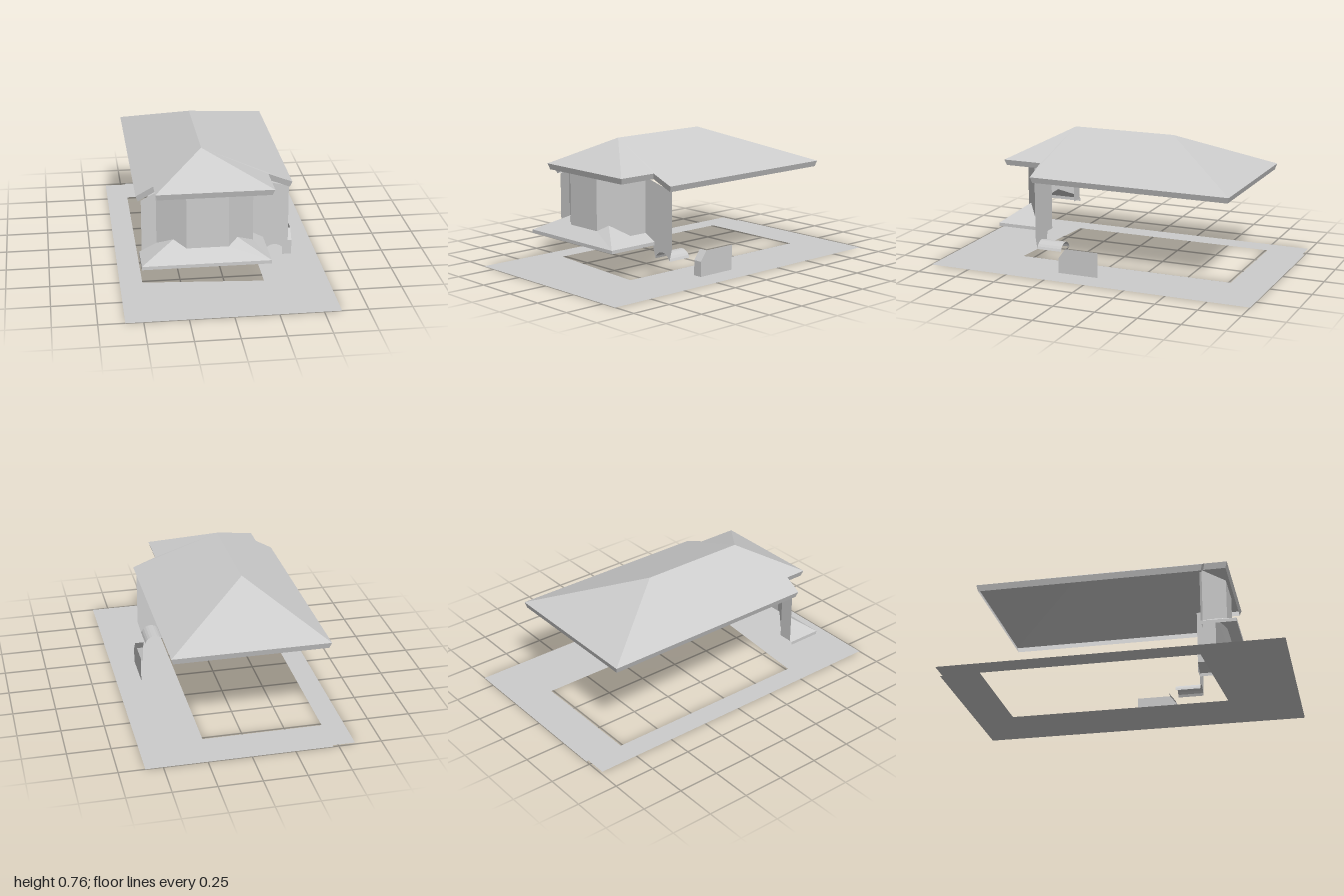
import * as THREE from 'three';

const grey = new THREE.MeshStandardMaterial({ color: 0xcccccc, side: THREE.DoubleSide });
grey.name = 'plain grey';

// Flat-shaded mesh from polygons, each a loop of [x, y, z] fanned from its first corner
function panels(name, polygons) {
  const pos = [];
  for (const p of polygons)
    for (let i = 1; i < p.length - 1; i++) pos.push(...p[0], ...p[i], ...p[i + 1]);
  const geo = new THREE.BufferGeometry();
  geo.setAttribute('position', new THREE.Float32BufferAttribute(pos, 3));
  geo.computeVertexNormals();
  return named(name, geo);
}

function named(name, geo) {
  const mesh = new THREE.Mesh(geo, grey);
  mesh.name = name;
  return mesh;
}

// Strips joining two rows of points
function strips(top, bottom, closed) {
  const out = [];
  for (let i = 0; i < top.length - (closed ? 0 : 1); i++) {
    const j = (i + 1) % top.length;
    out.push([top[i], bottom[i], bottom[j], top[j]]);
  }
  return out;
}

function outline(target, points) {
  points.forEach(([x, y], i) => (i ? target.lineTo(x, y) : target.moveTo(x, y)));
  target.closePath();
  return target;
}

export function createModel() {
  const model = new THREE.Group();
  model.name = 'house';

  // Ground slab outline with the house footprint cut out
  const plot = outline(new THREE.Shape(),
    [[-0.6, -1], [0.6, -1], [0.6, 1], [-0.47, 1], [-0.47, 0.985], [-0.6, 0.985]]);
  plot.holes.push(outline(new THREE.Path(),
    [[-0.47, -0.515], [-0.47, 0.762], [0.23, 0.762], [0.23, -0.575]]));
  model.add(named('ground', new THREE.ShapeGeometry(plot).rotateX(-Math.PI / 2)));

  // Main hipped roof with stepped eaves
  const ridgeF = [-0.11, 0.76, 0.37], ridgeB = [-0.11, 0.76, -0.27];
  const eaves = [
    [-0.4, 0.605, 0.67], [0.27, 0.605, 0.67], [0.27, 0.605, 0.43], [0.41, 0.55, 0.43],
    [0.41, 0.55, -0.8], [-0.5, 0.55, -0.8], [-0.5, 0.55, 0.54], [-0.4, 0.605, 0.54],
  ];
  model.add(panels('roof', [
    [ridgeF, eaves[0], eaves[1]],
    [ridgeF, ...eaves.slice(1, 5), ridgeB],
    [ridgeB, eaves[4], eaves[5]],
    [ridgeB, ...eaves.slice(5), eaves[0], ridgeF],
  ]));
  const eavesLow = eaves.map(([x, y, z]) =>
    [x - Math.sign(x) * 0.012, y - 0.035, z - Math.sign(z) * 0.01]);
  model.add(panels('roofFascia', strips(eaves, eavesLow, true)));

  // Bay walls, with bottoms following the lower roof
  const peakL = [-0.295, 0.297, 0.5875], peakR = [0.07, 0.296, 0.597];
  const wallL = [-0.225, 0.26, 0.64], wallR = [0.015, 0.26, 0.64];
  const sideL = [-0.385, 0.25, 0.52], sideR = [0.17, 0.24, 0.52], backR = [0.17, 0.24, 0.405];
  const up = ([x, , z], y = 0.572) => [x, y, z];
  model.add(panels('bayWalls', [
    [wallL, wallR, up(wallR), up(wallL)],
    [peakR, sideR, up(sideR), up(wallR), wallR],
    [sideR, backR, up(backR), up(sideR)],
    [peakL, wallL, up(wallL), up(sideL), sideL],
  ]));
  model.add(panels('leftWall', [
    [[-0.47, 0.2, 0.52], up(sideL, 0.2), up(sideL, 0.56), [-0.47, 0.515, 0.52]],
  ]));

  // Right wall ending in an arched foot
  const r = 0.0625, cx = 0.315, cy = 0.0875, arch = [];
  const start = Math.asin((0.105 - cy) / r);
  for (let i = 0; i <= 10; i++) {
    const a = Math.PI - start - (i / 10) * (Math.PI - 2 * start);
    arch.push([cx + r * Math.cos(a), cy + r * Math.sin(a)]);
  }
  const wall = outline(new THREE.Shape(),
    [[0.17, 0.18], [0.235, 0.18], ...arch, [0.395, 0.18], [0.395, 0.515], [0.17, 0.57]]);
  model.add(named('rightWall', new THREE.ShapeGeometry(wall).translate(0, 0, 0.405)));
  model.add(panels('archVault', strips(
    arch.map(([x, y]) => [x, y, 0.405]), arch.map(([x, y]) => [x, y, 0.25]), false)));

  // Lower skirt roof around the bay
  const skirt = [[-0.485, 0.2, 0.52], [-0.485, 0.2, 0.725], [0.248, 0.2, 0.725], [0.248, 0.2, 0.405]];
  const [endL, frontL, frontR, endR] = skirt;
  model.add(panels('lowerRoof', [
    [frontL, frontR, wallR, wallL],
    [frontR, peakR, wallR],
    [frontL, wallL, peakL],
    [frontR, endR, backR, sideR, peakR],
    [frontL, peakL, sideL, endL],
  ]));
  model.add(panels('lowerRoofFascia',
    strips(skirt, skirt.map(([x, y, z]) => [x, y - 0.02, z]), false)));

  // Small side block, open on its hidden sides
  const a = 0.395, b = 0.45;
  model.add(panels('sideBlock', [
    [[b, 0, 0.23], [b, 0, -0.02], [b, 0.15, -0.02], [b, 0.15, 0.185], [b, 0.09, 0.23]],
    [[a, 0, 0.23], [b, 0, 0.23], [b, 0.09, 0.23], [a, 0.09, 0.23]],
    [[a, 0.09, 0.23], [b, 0.09, 0.23], [b, 0.15, 0.185], [a, 0.15, 0.185]],
  ]));

  return model;
}
